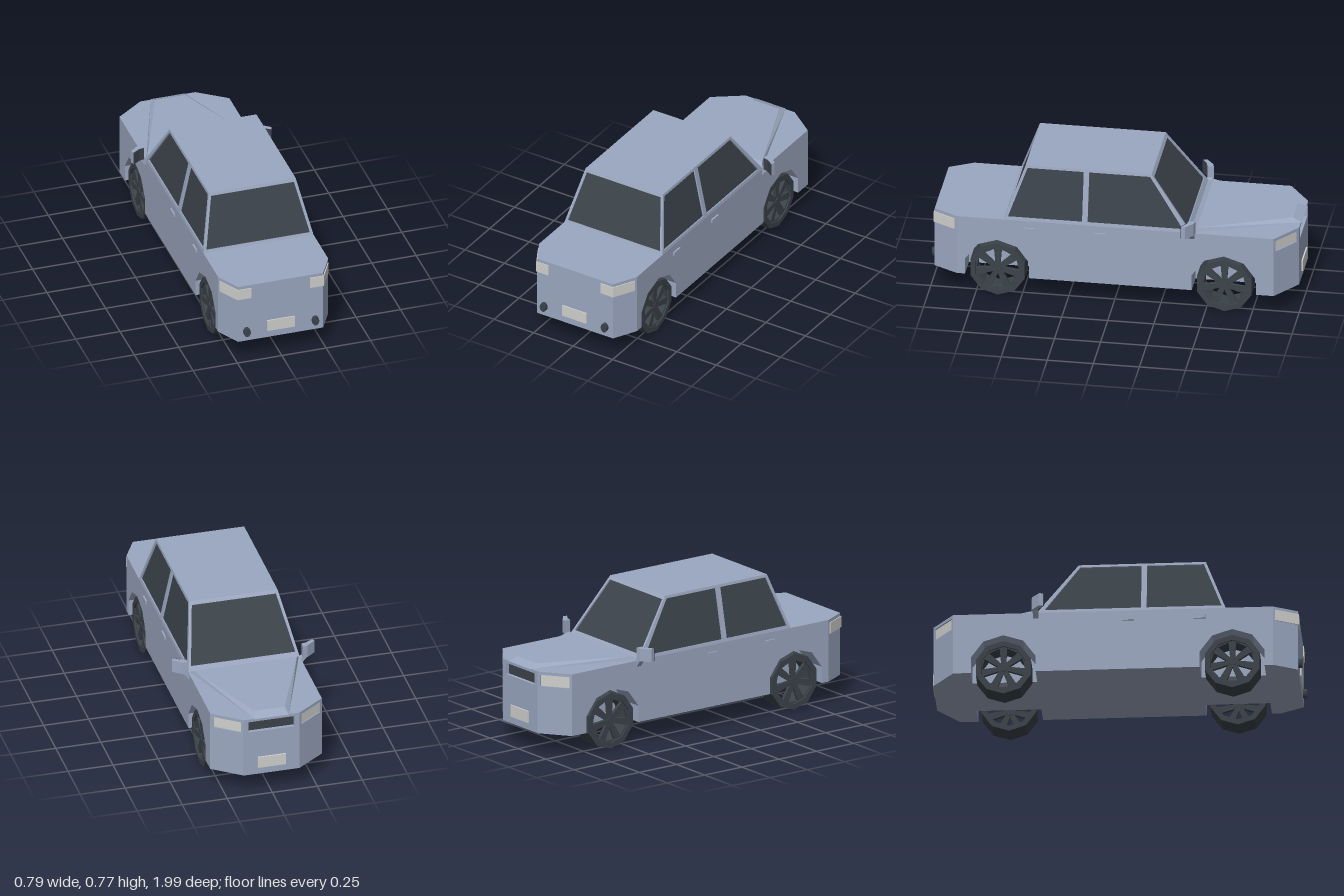
import * as THREE from 'three';
import { ConvexGeometry } from 'three/addons/geometries/ConvexGeometry.js';

const material = (name, color) => {
  const m = new THREE.MeshStandardMaterial({ color });
  m.name = name;
  return m;
};
const V = (x, y, z) => new THREE.Vector3(x, y, z);
const toShape = (pts) => new THREE.Shape(pts.map(([x, y]) => new THREE.Vector2(x, y)));
const extrude = (shape, depth) => new THREE.ExtrudeGeometry(shape, { depth, bevelEnabled: false });

// Plan outline of [x, z] points, raised from y0 to y1
const planSlab = (pts, y0, y1) => extrude(toShape(pts), y1 - y0).rotateX(Math.PI / 2).translate(0, y1, 0);

// Profile in (-z, y), extruded along x from x0 to x1
const sideSlab = (shape, x0, x1) => extrude(shape, x1 - x0).rotateY(Math.PI / 2).translate(x0, 0, 0);

// Regular polygon with a corner at the top
const polygon = (r, n) => Array.from({ length: n }, (_, i) => {
  const a = Math.PI / 2 + (i * 2 * Math.PI) / n;
  return [r * Math.cos(a), r * Math.sin(a)];
});

// Flat panel through corners (counter-clockwise from outside), with window holes, thickened inward
function panel(corners, holes = [], depth = 0.015) {
  const [o, b, , d] = corners;
  const u = b.clone().sub(o).normalize();
  const n = u.clone().cross(d.clone().sub(o)).normalize();
  const v = n.clone().cross(u);
  const flat = (p) => {
    const q = p.clone().sub(o);
    return [q.dot(u), q.dot(v)];
  };
  const shape = toShape(corners.map(flat));
  holes.forEach((h) => shape.holes.push(toShape(h.map(flat))));
  const m = new THREE.Matrix4().makeBasis(u, v, n).setPosition(o.clone().addScaledVector(n, -depth));
  return extrude(shape, depth).applyMatrix4(m);
}

// Points of a recess cut into the wall from p to q, between fractions t0 and t1
function notch(p, q, t0, t1, depth) {
  const dx = q[0] - p[0], dz = q[1] - p[1], len = Math.hypot(dx, dz);
  const at = (t, d) => [p[0] + dx * t - (dz / len) * d, p[1] + dz * t + (dx / len) * d];
  return [at(t0, 0), at(t0, depth), at(t1, depth), at(t1, 0)];
}

export function createModel() {
  const car = new THREE.Group();
  car.name = 'car';
  const paint = material('blue grey paint', 0x9ba7c0);
  const dark = material('dark glass and rubber', 0x3b434a);
  const pale = material('pale lamp', 0xcfcfcd);
  const add = (name, geo, mat, parent = car) => {
    const mesh = new THREE.Mesh(geo, mat);
    mesh.name = name;
    parent.add(mesh);
    return mesh;
  };

  // Body core: three plan layers, the middle one recessed for grille and headlights
  const W = 0.31, BASE = 0.12, BELT = 0.465, WELL = 0.175;
  const noseL = [-0.155, -0.985], noseR = [0.155, -0.985];
  const cornerL = [-W, -0.87], cornerR = [W, -0.87];
  const tail = [[W, -0.87], [WELL, -0.87], [WELL, 0.85], [W, 0.85], [0.24, 0.98],
    [-0.24, 0.98], [-W, 0.85], [-WELL, 0.85], [-WELL, -0.87], [-W, -0.87]];
  const cuts = [
    ['headlight', cornerL, noseL, 0.08, 0.92, 0.012, pale],
    ['grille', noseL, noseR, 0.09, 0.91, 0.025, dark],
    ['headlight', noseR, cornerR, 0.08, 0.92, 0.012, pale],
  ];
  const plain = [...tail, noseL, noseR];
  const recessed = [...tail];
  cuts.forEach(([, p, q, t0, t1, d]) => recessed.push(...notch(p, q, t0, t1, d), q));
  recessed.pop();
  add('lowerBody', planSlab(plain, BASE, 0.385), paint);
  add('lampBand', planSlab(recessed, 0.385, 0.448), paint);
  add('upperBody', planSlab(plain, 0.448, BELT), paint);

  // Headlights and grille set at the back of their recesses
  cuts.forEach(([name, p, q, t0, t1, d, mat]) => {
    const [, a, b] = notch(p, q, t0, t1, d);
    const [, c, e] = notch(p, q, t0, t1, d - 0.005);
    add(name, planSlab([a, c, e, b], 0.385, 0.448), mat);
  });

  // Body sides with ten-sided wheel wells
  const axles = [0.63, -0.6], HUB = 0.155, ARCH = 0.183;
  const profile = [[-0.85, BASE]];
  axles.forEach((z) => {
    const edge = ARCH * Math.cos(Math.PI / 10);
    profile.push([-z - edge, BASE]);
    [162, 126, 90, 54, 18].forEach((deg) => {
      const a = THREE.MathUtils.degToRad(deg);
      profile.push([-z + ARCH * Math.cos(a), HUB + ARCH * Math.sin(a)]);
    });
    profile.push([-z + edge, BASE]);
  });
  profile.push([0.87, BASE], [0.87, BELT], [-0.85, BELT]);
  add('bodySide', sideSlab(toShape(profile), WELL, W), paint);
  add('bodySide', sideSlab(toShape(profile), -W, -WELL), paint);

  // Raised bonnet centre
  const bonnet = [];
  [-1, 1].forEach((s) => bonnet.push(
    V(s * 0.305, BELT, -0.415), V(s * 0.095, BELT, -0.99),
    V(s * 0.285, 0.487, -0.45), V(s * 0.085, 0.487, -0.94)));
  add('bonnet', new ConvexGeometry(bonnet), paint);

  // Cabin: dark glass core inside window frames
  const ROOF = 0.77;
  const up = (y) => (y - BELT) / (ROOF - BELT);
  const sx = (y) => W - 0.065 * up(y);
  const rz = (y) => 0.595 - 0.11 * up(y);
  const fz = (y) => -0.42 + 0.222 * up(y);
  const core = [];
  [-1, 1].forEach((s) => [BELT, 0.76].forEach((y) => core.push(
    V(s * (sx(y) - 0.009), y, rz(y) - 0.009), V(s * (sx(y) - 0.009), y, fz(y) + 0.011))));
  add('windowGlass', new ConvexGeometry(core), dark);

  const acrossQuad = (zAt, y0, y1, x0, x1, s) => [
    V(-s * x0, y0, zAt(y0)), V(s * x0, y0, zAt(y0)), V(s * x1, y1, zAt(y1)), V(-s * x1, y1, zAt(y1))];
  add('rearWindowFrame', panel(acrossQuad(rz, BELT, ROOF, W, 0.245, 1),
    [acrossQuad(rz, 0.48, 0.752, 0.292, 0.236, 1)]), paint);
  add('windscreenFrame', panel(acrossQuad(fz, BELT, ROOF, W, 0.245, -1),
    [acrossQuad(fz, 0.49, 0.752, 0.29, 0.236, -1)]), paint);

  const sideOutline = [[0.595, BELT], [-0.42, BELT], [-0.198, ROOF], [0.485, ROOF]];
  const sideWindows = [
    [[0.573, 0.482], [0.17, 0.482], [0.17, 0.755], [0.478, 0.755]],
    [[0.14, 0.482], [-0.378, 0.482], [-0.19, 0.755], [0.14, 0.755]],
  ];
  [-1, 1].forEach((s) => {
    const place = (pts) => {
      const out = pts.map(([z, y]) => V(s * sx(y), y, z));
      return s > 0 ? out : [out[1], out[0], out[3], out[2]];
    };
    add('sideWindowFrame', panel(place(sideOutline), sideWindows.map(place)), paint);
  });
  add('roof', panel([V(-0.245, ROOF, 0.485), V(0.245, ROOF, 0.485),
    V(0.245, ROOF, -0.198), V(-0.245, ROOF, -0.198)]), paint);

  // Wheels: open ten-sided tyre with a seven-spoke face
  const tyreShape = toShape(polygon(0.155, 10));
  tyreShape.holes.push(toShape(polygon(0.125, 10)));
  const spokeShape = toShape(polygon(0.128, 10));
  for (let i = 0; i < 7; i++) {
    const a = -Math.PI / 2 + (i * 2 * Math.PI) / 7;
    const at = (r, t) => [r * Math.cos(a + t), r * Math.sin(a + t)];
    spokeShape.holes.push(toShape([at(0.03, 0), at(0.116, -0.27), at(0.116, 0.27)]));
  }
  const tyreGeo = sideSlab(tyreShape, 0.176, 0.297);
  const spokeGeo = sideSlab(spokeShape, 0.27, 0.288);
  const hubGeo = new THREE.CylinderGeometry(0.022, 0.022, 0.025, 10).rotateZ(Math.PI / 2).translate(0.28, 0, 0);
  axles.forEach((z) => [0, Math.PI].forEach((turn) => {
    const wheel = new THREE.Group();
    wheel.name = 'wheel';
    wheel.position.set(0, HUB, z);
    wheel.rotation.y = turn;
    add('tyre', tyreGeo, dark, wheel);
    add('spokes', spokeGeo, dark, wheel);
    add('hub', hubGeo, dark, wheel);
    car.add(wheel);
  }));

  // Number plates
  [-0.989, 0.982].forEach((z) =>
    add('numberPlate', new THREE.BoxGeometry(0.155, 0.065, 0.009).translate(0, 0.193, z), pale));

  // Paired fittings
  [-1, 1].forEach((s) => {
    const mirrorX = (pts) => pts.map(([x, z]) => [s * x, z]);

    add('tailLight', planSlab(mirrorX([[0.165, 0.978], [0.165, 0.985], [0.243, 0.985],
      [0.308, 0.864], [0.302, 0.858], [0.238, 0.978]]), 0.385, 0.447), pale);

    const pipe = new THREE.CylinderGeometry(0.019, 0.019, 0.03, 12).rotateX(Math.PI / 2).scale(1, 1.4, 1);
    add('exhaustPipe', pipe.translate(s * 0.193, 0.179, 0.985), dark);

    [0.455, 0.072].forEach((z) =>
      add('doorHandle', new THREE.BoxGeometry(0.014, 0.02, 0.062).translate(s * 0.313, 0.415, z), paint));

    // Wing mirror: bracket, housing and glass facing the cabin
    const bracket = extrude(toShape(mirrorX([[0.3, 0.432], [0.312, 0.432], [0.346, 0.474],
      [0.32, 0.474], [0.3, 0.458]])), 0.03);
    add('mirrorBracket', bracket.translate(0, 0, -0.44), paint);
    add('mirrorHousing', planSlab(mirrorX([[0.32, -0.447], [0.345, -0.442], [0.395, -0.402],
      [0.389, -0.38], [0.35, -0.406], [0.32, -0.412]]), 0.47, 0.542), paint);
    add('mirrorGlass', planSlab(mirrorX([[0.32, -0.412], [0.35, -0.406], [0.389, -0.38],
      [0.387, -0.376], [0.349, -0.402], [0.32, -0.408]]), 0.471, 0.541), dark);
  });

  return car;
}
